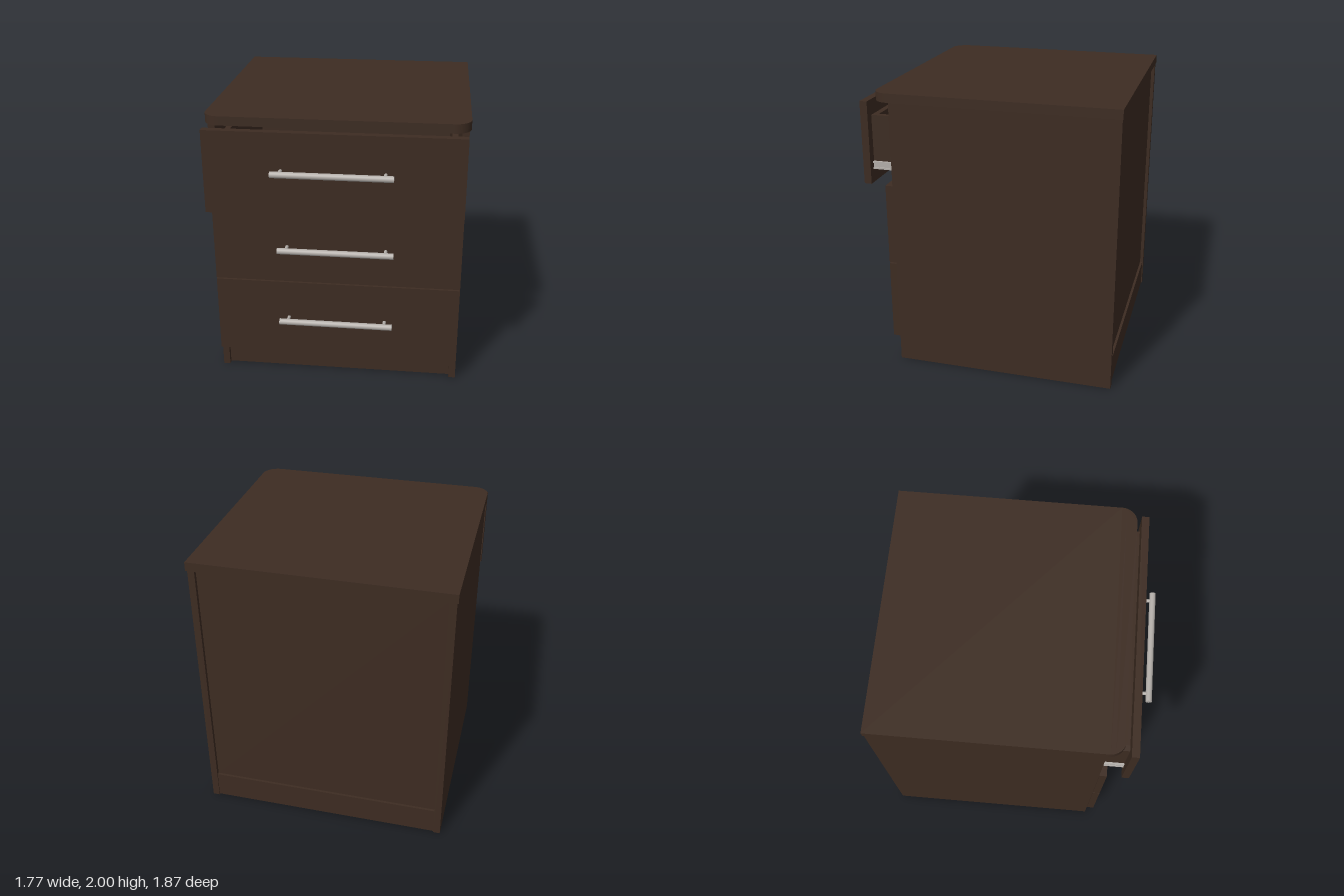
import * as THREE from 'three';

export function createModel() {
  const model = new THREE.Group();
  model.name = 'bedsideCabinet';
  const wood = new THREE.MeshStandardMaterial({ name: 'dark wood', color: 0x3d2c22 });
  const metal = new THREE.MeshStandardMaterial({ name: 'brushed metal', color: 0xb4afaa });

  // Box given by its minimum and maximum corners
  function box(parent, name, [x0, y0, z0], [x1, y1, z1], material = wood) {
    const mesh = new THREE.Mesh(new THREE.BoxGeometry(x1 - x0, y1 - y0, z1 - z0), material);
    mesh.position.set((x0 + x1) / 2, (y0 + y1) / 2, (z0 + z1) / 2);
    mesh.name = name;
    parent.add(mesh);
    return mesh;
  }

  // Top board with rounded front corners
  const W = 0.885, back = -0.93, front = 0.75, r = 0.11;
  const outline = new THREE.Shape();
  outline.moveTo(-W, back);
  outline.lineTo(W, back);
  outline.lineTo(W, front - r);
  outline.absarc(W - r, front - r, r, 0, Math.PI / 2, false);
  outline.lineTo(-W + r, front);
  outline.absarc(-W + r, front - r, r, Math.PI / 2, Math.PI, false);
  const topGeometry = new THREE.ExtrudeGeometry(outline, { depth: 0.063, bevelEnabled: false, curveSegments: 10 });
  topGeometry.rotateX(Math.PI / 2);
  const top = new THREE.Mesh(topGeometry, wood);
  top.name = 'topBoard';
  top.position.y = 2;
  model.add(top);

  // Carcass
  const carcass = new THREE.Group();
  carcass.name = 'carcass';
  model.add(carcass);
  box(carcass, 'rightSide', [-0.877, 0, -0.925], [-0.829, 1.937, 0.632]);
  box(carcass, 'leftSide', [0.826, 0, -0.925], [0.874, 1.937, 0.632]);
  box(carcass, 'backPanel', [-0.829, 0.2, -0.9], [0.826, 1.937, -0.87]);
  box(carcass, 'backRail', [-0.829, 0.005, -0.918], [0.826, 0.2, -0.87]);
  box(carcass, 'bottomBoard', [-0.829, 0.005, -0.87], [0.826, 0.05, 0.56]);
  box(carcass, 'kickBoard', [-0.829, 0.005, 0.56], [0.826, 0.18, 0.6]);

  // Bar handle on two posts; z is the drawer's front face
  function addHandle(parent, y, z, reach) {
    const handle = new THREE.Group();
    handle.name = 'handle';
    handle.position.set(-0.003, y, z);
    const bar = new THREE.Mesh(new THREE.CylinderGeometry(0.022, 0.022, 0.81, 24), metal);
    bar.name = 'handleBar';
    bar.rotation.z = Math.PI / 2;
    bar.position.z = reach;
    handle.add(bar);
    for (const x of [-0.347, 0.347]) {
      const post = new THREE.Mesh(new THREE.CylinderGeometry(0.012, 0.012, reach, 16), metal);
      post.name = 'handlePost';
      post.rotation.x = Math.PI / 2;
      post.position.set(x, 0, reach / 2);
      handle.add(post);
    }
    parent.add(handle);
  }

  // Drawers: bottom, top, front face, handle height, handle reach
  const drawers = [
    ['bottomDrawer', 0.18, 0.76, 0.687, 0.474, 0.07],
    ['middleDrawer', 0.77, 1.346, 0.687, 1.043, 0.074],
    ['topDrawer', 1.35, 1.932, 0.84, 1.67, 0.075],
  ];
  for (const [name, y0, y1, z, handleY, reach] of drawers) {
    const drawer = new THREE.Group();
    drawer.name = name;
    model.add(drawer);
    const zi = z - 0.052, zb = zi - 1.4, b = y0 + 0.097, t = y0 + 0.475;
    box(drawer, 'drawerFront', [-0.873, y0, zi], [0.867, y1, z]);
    // Open box behind the front
    box(drawer, 'boxFront', [-0.767, b, zi - 0.04], [0.767, t, zi]);
    box(drawer, 'boxBack', [-0.767, b, zb], [0.767, t, zb + 0.04]);
    box(drawer, 'boxBottom', [-0.767, b, zb + 0.04], [0.767, b + 0.02, zi - 0.04]);
    for (const s of [-1, 1]) {
      const xs = [s * 0.767, s * 0.807].sort((p, q) => p - q);
      box(drawer, 'boxSide', [xs[0], b, zb], [xs[1], t, zi]);
      // Runner with raised lips along its edges
      const web = [s * 0.807, s * 0.815].sort((p, q) => p - q);
      const lip = [s * 0.815, s * 0.823].sort((p, q) => p - q);
      box(drawer, 'runner', [web[0], b - 0.002, zb], [web[1], b + 0.053, zi], metal);
      for (const y of [b - 0.002, b + 0.041]) {
        box(drawer, 'runnerLip', [lip[0], y, zb], [lip[1], y + 0.012, zi], metal);
      }
    }
    addHandle(drawer, handleY, z, reach);
  }
  return model;
}
